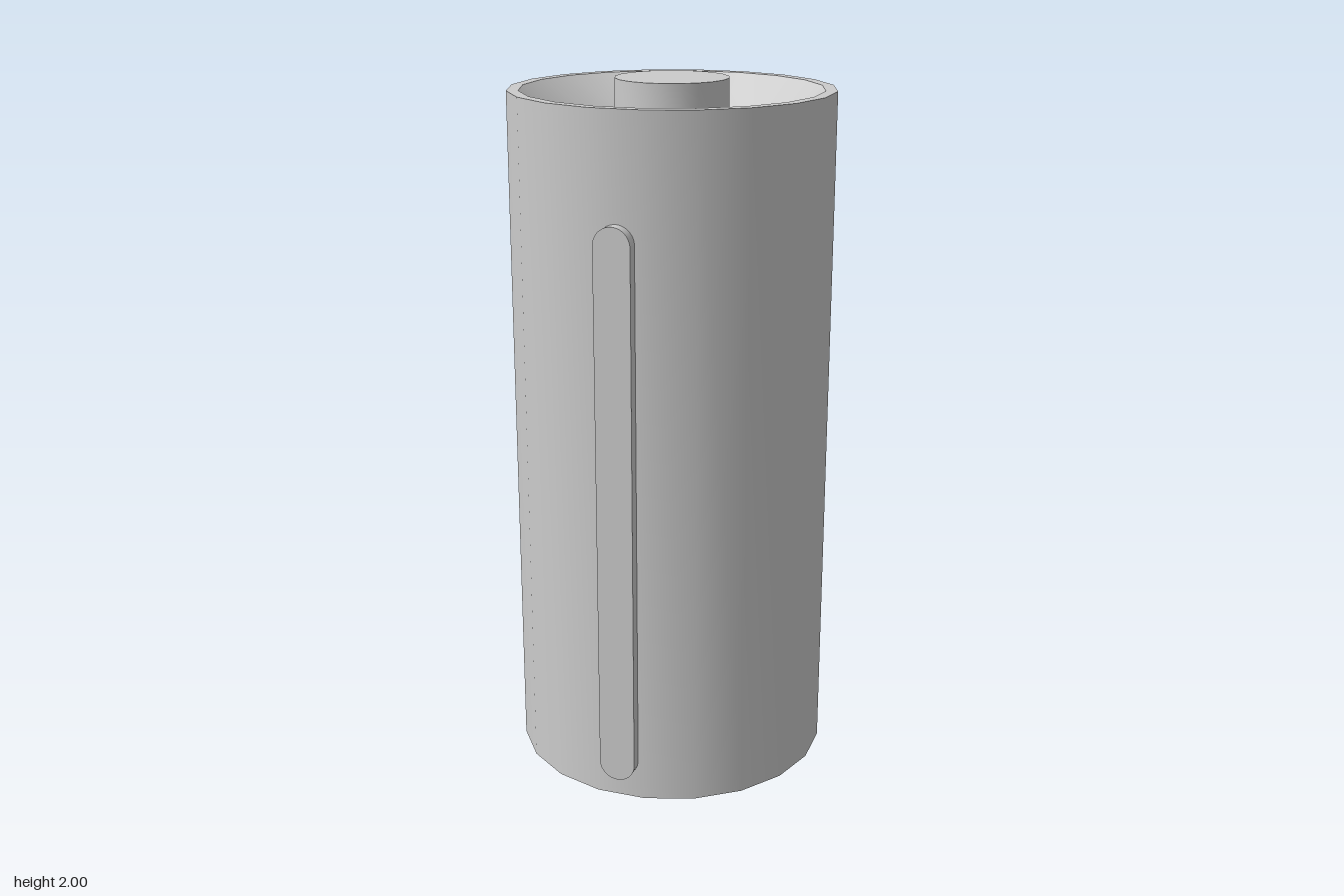
import * as THREE from 'three';
import { toCreasedNormals } from 'three/addons/utils/BufferGeometryUtils.js';

const SIDES = 20;
const material = new THREE.MeshStandardMaterial({ color: 0xcccccc });

function addPart(parent, name, geometry, crease = 0.5) {
  const mesh = new THREE.Mesh(toCreasedNormals(geometry, crease), material);
  mesh.name = name;
  parent.add(mesh);
  return mesh;
}

function lathe(profile) {
  return new THREE.LatheGeometry(profile.map(([r, y]) => new THREE.Vector2(r, y)), SIDES);
}

// Upright bar outline with semicircular ends
function barShape(halfWidth, bottom, top) {
  const shape = new THREE.Shape();
  shape.absarc(0, top - halfWidth, halfWidth, 0, Math.PI);
  shape.absarc(0, bottom + halfWidth, halfWidth, Math.PI, Math.PI * 2);
  shape.closePath();
  return shape;
}

export function createModel() {
  const group = new THREE.Group();
  const canister = new THREE.Group();
  canister.name = 'canister';
  canister.position.z = -0.016;
  group.add(canister);

  // Closed body: wall, flat rim, sloping recess and a gently raised floor
  addPart(canister, 'body', lathe([
    [0, 0], [0.458, 0], [0.458, 1.97], [0.425, 1.97],
    [0.308, 1.86], [0.16, 1.9], [0, 1.9],
  ]));

  // Central knob standing just above the rim
  addPart(canister, 'topKnob', lathe([[0, 1.89], [0.16, 1.89], [0.16, 2], [0, 2]]));

  // Raised bar lying on the facet just left of the front centre
  const strip = new THREE.ExtrudeGeometry(barShape(0.052, 0.067, 1.675), {
    depth: 0.046, bevelEnabled: false, curveSegments: 10,
  });
  strip.translate(0, 0, 0.44);
  addPart(canister, 'frontStrip', strip).rotation.y = Math.PI / SIDES;

  return group;
}
